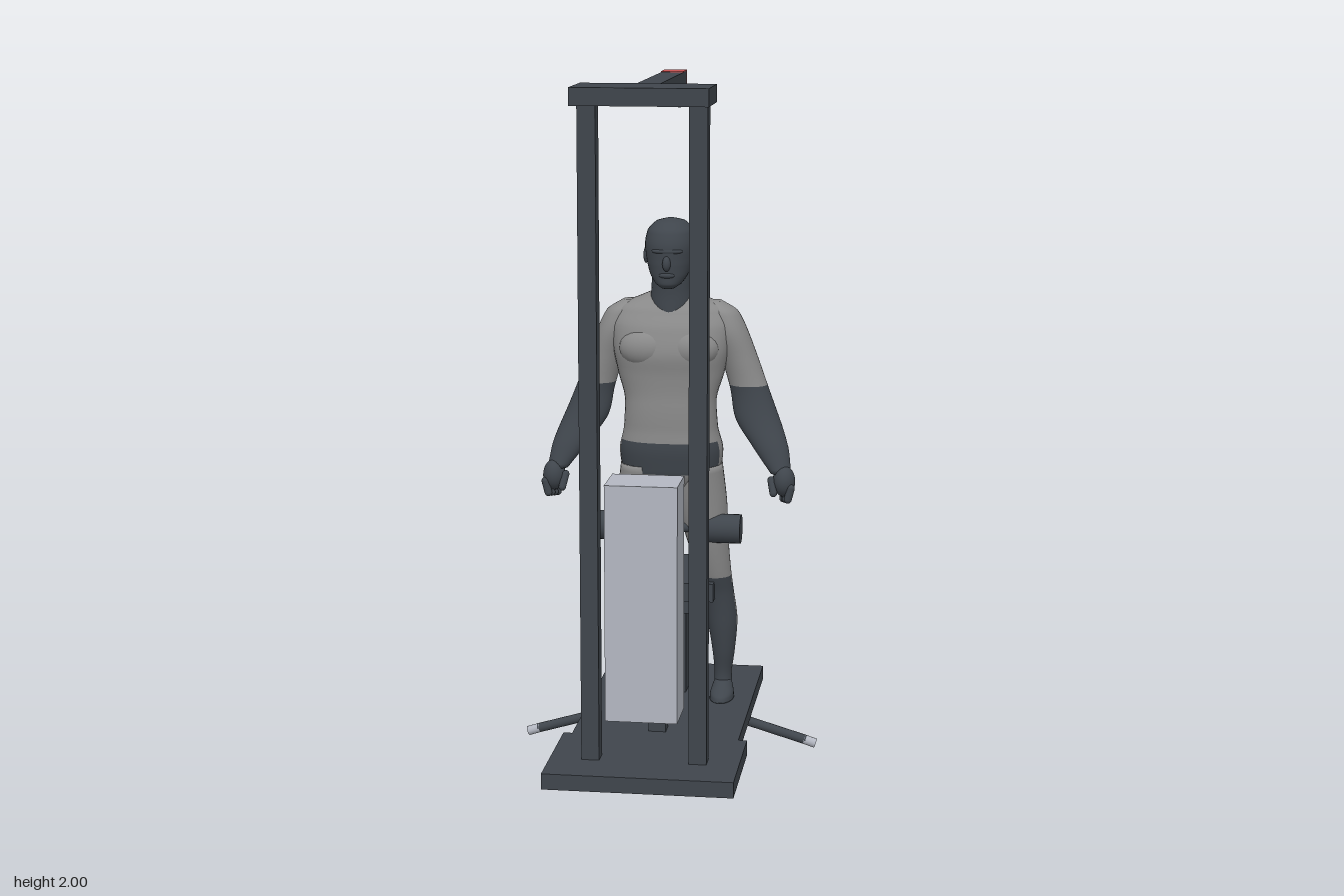
import * as THREE from 'three';

const mat = (name, color) => Object.assign(new THREE.MeshStandardMaterial({ color }), { name });

export function createModel() {
  const dark = mat('charcoal', 0x3f454c);
  const skin = mat('body grey', 0x8a8a8a);
  const steel = mat('pale steel', 0xb3b7c1);
  const red = mat('red', 0xc95252);
  const black = mat('cable black', 0x1c1f22);

  const root = new THREE.Group();
  root.name = 'pulldownMachineWithUser';
  const machine = new THREE.Group();
  machine.name = 'machine';
  const person = new THREE.Group();
  person.name = 'person';
  root.add(machine, person);

  const add = (parent, name, geo, material) => {
    const m = new THREE.Mesh(geo, material);
    m.name = name;
    parent.add(m);
    return m;
  };
  // Box from its limits on each axis
  const box = (name, [x0, x1], [y0, y1], [z0, z1], material = dark) => {
    const m = add(machine, name, new THREE.BoxGeometry(x1 - x0, y1 - y0, z1 - z0), material);
    m.position.set((x0 + x1) / 2, (y0 + y1) / 2, (z0 + z1) / 2);
    return m;
  };
  // Round bar between two points
  const bar = (name, a, b, r, material = dark, sides = 16) => {
    const p = new THREE.Vector3(...a), q = new THREE.Vector3(...b);
    const m = add(machine, name, new THREE.CylinderGeometry(r, r, p.distanceTo(q), sides), material);
    m.position.copy(p).add(q).multiplyScalar(0.5);
    m.quaternion.setFromUnitVectors(new THREE.Vector3(0, 1, 0), q.sub(p).normalize());
    return m;
  };
  const ball = (parent, name, pos, radii, material) => {
    const m = add(parent, name, new THREE.SphereGeometry(1, 20, 14), material);
    m.position.set(...pos);
    m.scale.set(...radii);
    return m;
  };
  // Smooth loft through level rings [x, y, z, rx, rz], listed from the bottom up;
  // isDark(y, s) picks the colour of a face, s being 1 at the front and -1 at the back
  const loft = (parent, name, rings, isDark, power = 1, sides = 32, steps = 6) => {
    const centre = new THREE.CatmullRomCurve3(rings.map(r => new THREE.Vector3(r[0], r[1], r[2])));
    const size = new THREE.CatmullRomCurve3(rings.map(r => new THREE.Vector3(r[3], r[4], 0)));
    const n = (rings.length - 1) * steps;
    const pos = [], groups = [[], []];
    const bend = v => Math.sign(v) * Math.abs(v) ** power;
    for (let j = 0; j <= n; j++) {
      const c = centre.getPoint(j / n), s = size.getPoint(j / n);
      for (let i = 0; i < sides; i++) {
        const a = (i / sides) * Math.PI * 2;
        pos.push(c.x + s.x * bend(Math.cos(a)), c.y, c.z + s.y * bend(Math.sin(a)));
      }
    }
    for (let j = 0; j < n; j++) {
      const y = (pos[j * sides * 3 + 1] + pos[(j + 1) * sides * 3 + 1]) / 2;
      for (let i = 0; i < sides; i++) {
        const k = (i + 1) % sides, a = j * sides + i, b = j * sides + k;
        const s = Math.sin(((i + 0.5) / sides) * Math.PI * 2);
        groups[isDark(y, s) ? 1 : 0].push(a, a + sides, b, b, a + sides, b + sides);
      }
    }
    // End caps
    for (const j of [0, n]) {
      const c = centre.getPoint(j / n), mid = pos.length / 3;
      pos.push(c.x, c.y, c.z);
      for (let i = 0; i < sides; i++) {
        const a = j * sides + i, b = j * sides + ((i + 1) % sides);
        groups[isDark(c.y, 0) ? 1 : 0].push(...(j ? [mid, b, a] : [mid, a, b]));
      }
    }
    const geo = new THREE.BufferGeometry();
    geo.setAttribute('position', new THREE.Float32BufferAttribute(pos, 3));
    geo.setIndex([...groups[0], ...groups[1]]);
    geo.addGroup(0, groups[0].length, 0);
    geo.addGroup(groups[0].length, groups[1].length, 1);
    geo.computeVertexNormals();
    return add(parent, name, geo, [skin, dark]);
  };

  // Base, frame and overhead arm
  box('frontBase', [-0.265, 0.265], [0.09, 0.135], [0.415, 0.765]);
  box('rearBase', [-0.24, 0.24], [0.091, 0.134], [-0.3, 0.42]);
  for (const s of [-1, 1]) box('upright', [s * 0.15 - 0.025, s * 0.15 + 0.025], [0.13, 1.96], [0.585, 0.635]);
  box('topPlate', [-0.185, 0.185], [1.95, 1.998], [0.52, 0.7]);
  box('topArm', [-0.032, 0.032], [1.945, 1.997], [-0.032, 0.58]);
  box('armCapTop', [-0.032, 0.032], [1.996, 2], [-0.036, 0.04], red);
  box('armCapEnd', [-0.032, 0.032], [1.945, 2], [-0.037, -0.031], red);
  bar('pulley', [-0.02, 1.94, 0.006], [0.02, 1.94, 0.006], 0.045, steel, 32);
  box('weightStack', [-0.1, 0.1], [0.265, 0.93], [0.535, 0.68], steel);

  // Knee roller on its stand
  box('rollerPost', [-0.025, 0.025], [0.13, 0.68], [0.322, 0.368]);
  box('rollerArm', [-0.02, 0.02], [0.655, 0.69], [0.09, 0.345]);
  bar('rollerAxle', [-0.2, 0.672, 0.09], [0.2, 0.672, 0.09], 0.014);
  for (const s of [-1, 1]) bar('roller', [s * 0.06, 0.672, 0.09], [s * 0.21, 0.672, 0.09], 0.043, dark, 24);

  // Seat
  box('seatPad', [-0.13, 0.13], [0.45, 0.505], [-0.23, 0.105]);
  box('seatPlate', [-0.1, 0.1], [0.41, 0.45], [-0.185, 0.095]);
  box('seatPost', [-0.035, 0.035], [0.13, 0.41], [-0.075, -0.005]);

  // Pull bar under the base, with drooping grips, and its cable
  bar('pullBar', [-0.22, 0.082, 0.072], [0.22, 0.082, 0.072], 0.011);
  for (const s of [-1, 1]) {
    bar('pullBarGrip', [s * 0.215, 0.083, 0.072], [s * 0.405, 0.027, 0.072], 0.014);
    bar('pullBarTip', [s * 0.4, 0.0285, 0.072], [s * 0.435, 0.017, 0.072], 0.014, steel);
  }
  bar('cable', [0, 0.094, 0.07], [0, 0.094, -0.77], 0.004, black, 8);

  // Torso
  loft(person, 'torso', [
    [0, 0.775, 0.05, 0.07, 0.06], [0, 0.84, 0.05, 0.145, 0.096], [0, 0.9, 0.055, 0.152, 0.1],
    [0, 0.97, 0.068, 0.138, 0.085], [0, 1.05, 0.073, 0.134, 0.08], [0, 1.13, 0.06, 0.155, 0.095],
    [0, 1.2, 0.056, 0.17, 0.106], [0, 1.27, 0.045, 0.178, 0.099], [0, 1.32, 0.035, 0.16, 0.082],
    [0, 1.355, 0.035, 0.085, 0.058], [0, 1.37, 0.04, 0.05, 0.045],
  ], (y, s) => y < 0.8 || (y > 0.84 && y < 0.935 && s > 0.35), 0.85, 40);
  for (const s of [-1, 1]) {
    ball(person, 'chestMuscle', [s * 0.068, 1.21, 0.115], [0.078, 0.058, 0.05], skin);
    ball(person, 'buttock', [s * 0.062, 0.865, 0.005], [0.068, 0.072, 0.058], skin);
    ball(person, 'shoulderBlade', [s * 0.085, 1.25, -0.01], [0.07, 0.085, 0.045], skin);
  }

  // Neck and head
  const all = () => true;
  loft(person, 'neck', [
    [0, 1.3, 0.065, 0.05, 0.055], [0, 1.34, 0.058, 0.062, 0.06], [0, 1.38, 0.064, 0.057, 0.054], [0, 1.44, 0.065, 0.055, 0.055],
  ], all);
  loft(person, 'head', [
    [0, 1.388, 0.13, 0.018, 0.02], [0, 1.4, 0.122, 0.036, 0.04], [0, 1.425, 0.104, 0.054, 0.06], [0, 1.46, 0.086, 0.066, 0.08],
    [0, 1.51, 0.078, 0.073, 0.088], [0, 1.55, 0.074, 0.066, 0.078], [0, 1.575, 0.07, 0.042, 0.05], [0, 1.585, 0.07, 0.006, 0.006],
  ], all, 0.95);
  ball(person, 'nose', [0, 1.462, 0.166], [0.012, 0.022, 0.015], dark);
  ball(person, 'brow', [0, 1.497, 0.152], [0.045, 0.01, 0.016], dark);
  ball(person, 'lips', [0, 1.428, 0.158], [0.023, 0.009, 0.01], dark);

  // Limbs, built on the left and mirrored
  for (const s of [1, -1]) {
    const side = new THREE.Group();
    side.name = s > 0 ? 'leftLimbs' : 'rightLimbs';
    side.scale.x = s;
    person.add(side);
    ball(side, 'ear', [0.072, 1.475, 0.07], [0.008, 0.024, 0.015], dark);
    loft(side, 'arm', [
      [0.328, 0.85, 0.118, 0.03, 0.028], [0.295, 0.92, 0.088, 0.052, 0.038], [0.252, 1, 0.053, 0.065, 0.047],
      [0.228, 1.08, 0.036, 0.057, 0.049], [0.198, 1.17, 0.03, 0.054, 0.058], [0.168, 1.25, 0.033, 0.054, 0.064],
      [0.146, 1.31, 0.033, 0.046, 0.055], [0.125, 1.34, 0.033, 0.02, 0.025],
    ], y => y < 1.1);
    ball(side, 'palm', [0.338, 0.828, 0.125], [0.033, 0.045, 0.038], dark);
    for (let i = 0; i < 4; i++) {
      const finger = add(side, 'finger', new THREE.CapsuleGeometry(0.0115, 0.035, 4, 10), dark);
      finger.position.set(0.356 - i * 0.006, 0.796 - i * 0.003, 0.15 - i * 0.018);
      finger.rotation.z = -0.25;
    }
    const thumb = add(side, 'thumb', new THREE.CapsuleGeometry(0.011, 0.04, 4, 10), dark);
    thumb.position.set(0.306, 0.815, 0.145);
    thumb.rotation.set(-0.4, 0, 0.2);
    loft(side, 'leg', [
      [0.148, 0.14, -0.006, 0.03, 0.034], [0.148, 0.2, -0.008, 0.026, 0.03], [0.15, 0.28, 0, 0.034, 0.038],
      [0.146, 0.38, 0.004, 0.045, 0.05], [0.137, 0.46, 0.018, 0.045, 0.048], [0.125, 0.53, 0.034, 0.05, 0.054],
      [0.106, 0.63, 0.045, 0.062, 0.068], [0.088, 0.75, 0.048, 0.075, 0.08], [0.08, 0.86, 0.05, 0.07, 0.09],
    ], (y, f) => y < 0.2 || (y < 0.52 && f > 0.15) || (y > 0.46 && y < 0.49));
    loft(side, 'foot', [
      [0.148, 0.134, 0.027, 0.036, 0.066], [0.148, 0.15, 0.024, 0.035, 0.062], [0.148, 0.168, 0.008, 0.03, 0.042], [0.148, 0.185, -0.004, 0.024, 0.03],
    ], all);
  }
  return root;
}
